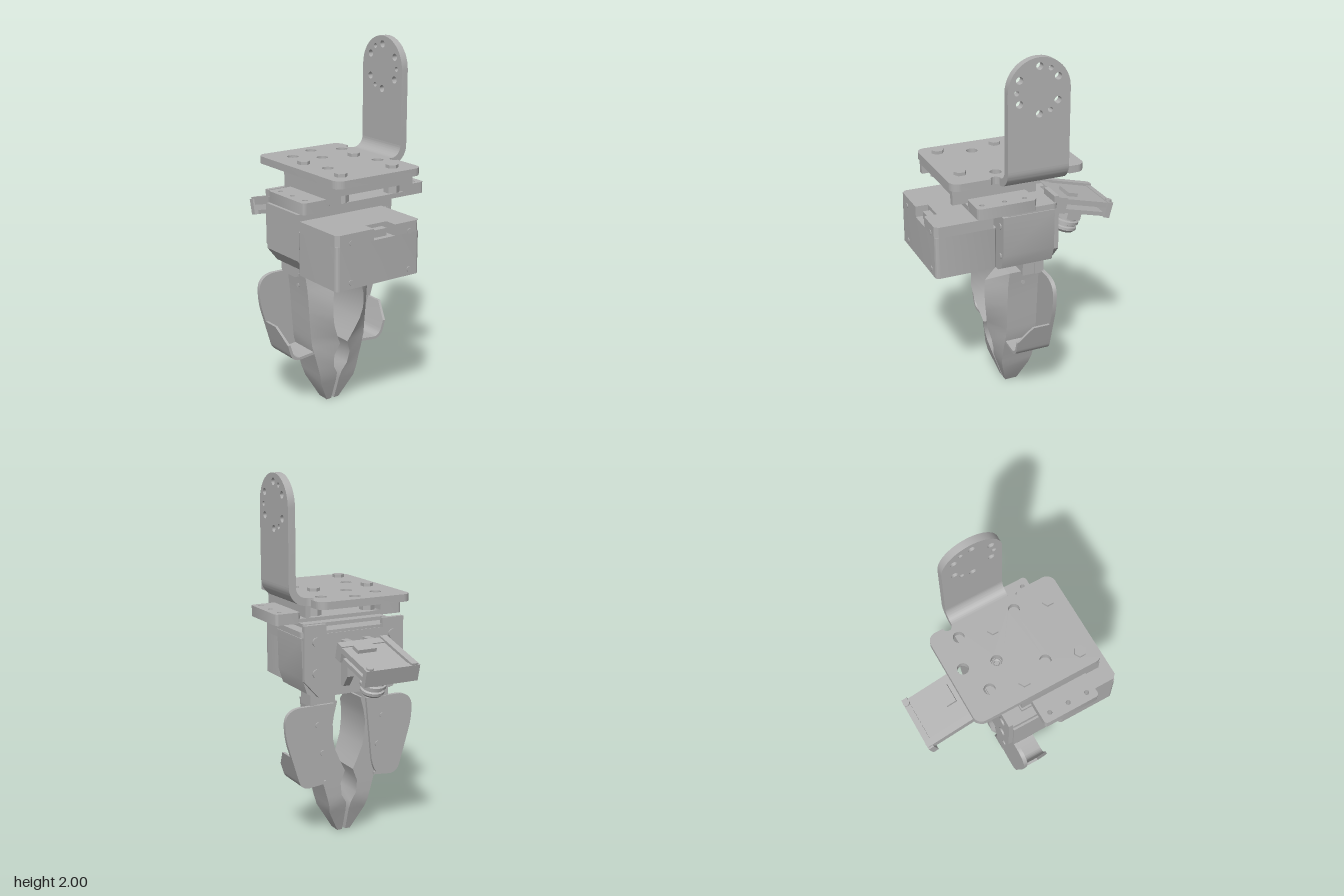
import * as THREE from 'three';
import { toCreasedNormals } from 'three/addons/utils/BufferGeometryUtils.js';

const grey = new THREE.MeshStandardMaterial({ color: 0xb0b0b0 });
grey.name = 'aluminium grey';

function add(parent, name, geo, x = 0, y = 0, z = 0) {
  const m = new THREE.Mesh(geo, grey);
  m.name = name;
  m.position.set(x, y, z);
  parent.add(m);
  return m;
}
// box given by its extents
const box = (p, name, x0, x1, y0, y1, z0, z1) =>
  add(p, name, new THREE.BoxGeometry(x1 - x0, y1 - y0, z1 - z0), (x0 + x1) / 2, (y0 + y1) / 2, (z0 + z1) / 2);
const poly = pts => new THREE.Shape(pts.map(p => new THREE.Vector2(...p)));
const extrude = (shape, depth) => toCreasedNormals(
  new THREE.ExtrudeGeometry(shape, { depth, bevelEnabled: false, curveSegments: 10 }), 0.6);
const flat = (shape, depth) => extrude(shape, depth).rotateX(Math.PI / 2);   // (x, z) outline, grows down
const side = (shape, depth) => extrude(shape, depth).rotateY(-Math.PI / 2);  // (z, y) outline, grows to -x
function drill(shape, holes) {
  for (const [x, y, r] of holes) shape.holes.push(new THREE.Path().absarc(x, y, r, 0, Math.PI * 2, true));
  return shape;
}
function roundRect(x0, x1, y0, y1, r) {
  const s = new THREE.Shape();
  s.absarc(x1 - r, y1 - r, r, 0, Math.PI / 2);
  s.absarc(x0 + r, y1 - r, r, Math.PI / 2, Math.PI);
  s.absarc(x0 + r, y0 + r, r, Math.PI, Math.PI * 1.5);
  s.absarc(x1 - r, y0 + r, r, Math.PI * 1.5, Math.PI * 2);
  return s;
}
const rod = (r, h, n = 16) => toCreasedNormals(new THREE.CylinderGeometry(r, r, h, n), 0.6);
const rodZ = (r, h, n) => rod(r, h, n).rotateX(Math.PI / 2);

function buildBracket(g) {
  // horizontal plate with two relief notches beside the bend
  const s = new THREE.Shape();
  s.moveTo(0.29, -0.23);
  s.lineTo(0.29, -0.185);
  s.absarc(0.29, -0.16, 0.025, -Math.PI / 2, Math.PI / 2, true);
  s.lineTo(0.29, 0.2);
  s.absarc(0.29, 0.225, 0.025, -Math.PI / 2, Math.PI / 2, true);
  s.absarc(0.24, 0.41, 0.05, 0, Math.PI / 2);
  s.absarc(-0.205, 0.41, 0.05, Math.PI / 2, Math.PI);
  s.absarc(-0.205, -0.23, 0.05, Math.PI, Math.PI * 1.5);
  s.absarc(0.24, -0.23, 0.05, -Math.PI / 2, 0);
  drill(s, [[-0.118, -0.135, 0.031], [0.208, -0.135, 0.031], [0.045, -0.2, 0.031],
    [-0.12, 0.19, 0.031], [0.205, 0.19, 0.031], [0, -0.028, 0.031]]);
  add(g, 'mountingPlate', flat(s, 0.04), 0, 1.37, 0);
  // bend
  const b = new THREE.Shape();
  b.moveTo(0.29, 1.33);
  b.absarc(0.29, 1.43, 0.1, -Math.PI / 2, 0);
  b.lineTo(0.35, 1.43);
  b.absarc(0.29, 1.43, 0.06, 0, -Math.PI / 2, true);
  add(g, 'bracketBend', extrude(b, 0.335), 0, 0, -0.133);
  // upright with a ring of holes
  const u = new THREE.Shape();
  u.moveTo(-0.133, 1.43);
  u.lineTo(0.202, 1.43);
  u.absarc(0.0345, 1.8325, 0.1675, 0, Math.PI);
  drill(u, [[0.035, 1.955, 0.019], [0.14, 1.895, 0.019], [-0.065, 1.895, 0.019], [0.14, 1.775, 0.019],
    [-0.065, 1.775, 0.019], [0.035, 1.715, 0.019], [-0.025, 1.94, 0.013], [-0.025, 1.73, 0.013], [0.155, 1.833, 0.013]]);
  add(g, 'bracketUpright', side(u, 0.04), 0.39, 0, 0);
  // bolts and nuts
  for (const x of [-0.167, 0.16]) for (const z of [0.04, 0.367]) {
    add(g, 'plateBolt', rod(0.034, 0.025, 6), x, 1.375, z);
    add(g, 'plateNut', rod(0.042, 0.05, 6), x, 1.265, z);
  }
  add(g, 'centreScrew', new THREE.TorusGeometry(0.02, 0.007, 6, 16).rotateX(Math.PI / 2), 0, 1.33, -0.028);
}

function buildAdapter(g) {
  box(g, 'channelTop', -0.25, 0.24, 1.29, 1.33, -0.02, 0.44);
  box(g, 'channelLip', -0.1, 0.1, 1.29, 1.33, -0.065, -0.02);
  for (const x of [-0.25, 0.21]) box(g, 'channelWall', x, x + 0.03, 1.24, 1.29, -0.02, 0.44);
  box(g, 'adapterBase', -0.24, 0.25, 1.2, 1.225, 0.04, 0.36);
  const left = drill(roundRect(-0.39, -0.215, 0.04, 0.36, 0.02),
    [[-0.345, 0.09, 0.013], [-0.345, 0.2, 0.013], [-0.345, 0.31, 0.013]]);
  const right = drill(roundRect(0.235, 0.385, 0.04, 0.36, 0.02),
    [[0.34, 0.09, 0.013], [0.34, 0.2, 0.013], [0.34, 0.32, 0.013]]);
  for (const s of [left, right]) add(g, 'mountingEar', flat(s, 0.06), 0, 1.26, 0);
}

function buildBody(g) {
  // gearbox housing
  const s = poly([[-0.31, 1.15], [-0.31, 0.9], [-0.25, 0.825], [0.23, 0.825], [0.275, 0.85],
    [0.3, 0.93], [0.305, 1.15]]);
  add(g, 'gearHousing', extrude(s, 0.29), 0, 0, -0.1);
  add(g, 'backPlate', extrude(poly([[-0.3, 1.22], [-0.3, 0.92], [-0.22, 0.83], [0.22, 0.83],
    [0.3, 0.92], [0.3, 1.22], [0.17, 1.22], [0.17, 1.17], [-0.17, 1.17], [-0.17, 1.22]]), 0.025), 0, 0, -0.125);
  add(g, 'topFlange', flat(roundRect(-0.3, 0.31, -0.12, 0.19, 0.03), 0.03), 0, 1.185, 0);
  box(g, 'topRiser', -0.25, 0.25, 1.18, 1.205, -0.02, 0.19);
  for (const x of [-0.23, 0.23]) for (const y of [0.96, 1.13])
    add(g, 'backScrew', rodZ(0.025, 0.012, 12), x, y, -0.128);
  for (const y of [0.92, 1.09]) add(g, 'frontScrew', rodZ(0.016, 0.008, 12), 0.265, y, 0.192);

  // motor block, its upper layer notched for the cable socket
  add(g, 'motorBlock', flat(roundRect(-0.31, 0.218, 0.19, 0.53, 0.02), 0.23), 0, 1.06, 0);
  add(g, 'motorTop', flat(poly([[-0.31, 0.21], [0.218, 0.21], [0.218, 0.51], [0.198, 0.53], [0.055, 0.53],
    [0.055, 0.46], [-0.08, 0.46], [-0.08, 0.53], [-0.29, 0.53], [-0.31, 0.51]]), 0.06), 0, 1.12, 0);
  box(g, 'cableSocket', -0.05, 0.025, 1.06, 1.1, 0.46, 0.5);
  for (const x of [-0.22, 0.15]) for (const y of [0.865, 1.07])
    add(g, 'motorScrew', rodZ(0.014, 0.008, 12), x, y, 0.53);
}

function buildCamera(g) {
  const arm = poly([[-0.11, 1.13], [-0.22, 1.13], [-0.22, 1.05], [-0.195, 1.04], [-0.195, 0.94], [-0.15, 0.88], [-0.11, 0.88]]);
  for (const x of [-0.045, 0.085]) add(g, 'cameraArm', side(arm, 0.04), x, 0, 0);
  // tilted holder; local z runs along the board
  const h = new THREE.Group();
  h.name = 'cameraHolder';
  h.position.set(0, 1.06, -0.355);
  h.rotation.x = -0.255;
  g.add(h);
  box(h, 'holderTop', -0.145, 0.15, 0, 0.03, -0.165, 0.165);
  box(h, 'circuitBoard', -0.13, 0.135, -0.055, -0.032, -0.155, 0.16);
  box(h, 'holderEnd', -0.155, 0.158, -0.055, 0.035, -0.168, -0.135);
  box(h, 'holderHinge', -0.145, 0.15, -0.055, 0.035, 0.11, 0.165);
  box(h, 'holderRim', -0.145, -0.105, 0.03, 0.045, -0.165, 0.165);
  box(h, 'connector', -0.01, 0.1, 0.03, 0.05, 0.03, 0.09);
  for (const x of [-0.125, 0.13]) add(h, 'holderScrew', rod(0.018, 0.02, 12), x, 0.035, -0.15);
  // lens barrel with grooves
  const profile = [[0, -0.2], [0.05, -0.2], [0.065, -0.185], [0.065, -0.17], [0.055, -0.165], [0.055, -0.155],
    [0.07, -0.15], [0.07, -0.135], [0.056, -0.13], [0.056, -0.05]].map(p => new THREE.Vector2(...p));
  add(h, 'lensBarrel', toCreasedNormals(new THREE.LatheGeometry(profile, 24), 0.6));
  add(h, 'lensNut', rod(0.085, 0.06, 6), 0, -0.085, 0);
}

// loft four-cornered sections: y, inner x, outer x, back z, outer front z, inner front z
function fingerGeometry(rows) {
  const pos = [], idx = [], n = rows.length;
  for (const [y, xi, xo, zb, zm, zf] of rows) pos.push(xi, y, zf, xo, y, zm, xo, y, zb, xi, y, zb);
  for (let r = 0; r < n - 1; r++) for (let i = 0; i < 4; i++) {
    const a = r * 4 + i, b = r * 4 + (i + 1) % 4;
    idx.push(a, b, b + 4, a, b + 4, a + 4);
  }
  const t = (n - 1) * 4;
  idx.push(t, t + 1, t + 2, t, t + 2, t + 3, 0, 2, 1, 0, 3, 2);
  const geo = new THREE.BufferGeometry();
  geo.setAttribute('position', new THREE.Float32BufferAttribute(pos, 3));
  geo.setIndex(idx);
  return toCreasedNormals(geo, 0.5);
}

function buildJaw(g, sign) {
  const j = new THREE.Group();
  j.name = sign > 0 ? 'leftJaw' : 'rightJaw';
  j.scale.x = sign;
  g.add(j);
  add(j, 'finger', fingerGeometry([
    [0, 0.01, 0.04, 0, 0.07, 0.07],
    [0.13, 0.01, 0.11, -0.04, 0.115, 0.115],
    [0.18, 0.015, 0.122, -0.058, 0.125, 0.132],
    [0.23, 0.045, 0.135, -0.06, 0.125, 0.143],
    [0.3, 0.052, 0.155, -0.06, 0.125, 0.158],
    [0.37, 0.025, 0.175, -0.06, 0.122, 0.173],
    [0.42, 0.05, 0.18, -0.06, 0.12, 0.185],
    [0.5, 0.085, 0.187, -0.06, 0.12, 0.203],
    [0.57, 0.1, 0.192, -0.06, 0.12, 0.215],
    [0.65, 0.1, 0.198, -0.06, 0.12, 0.215],
    [0.7, 0.092, 0.203, -0.06, 0.12, 0.21],
    [0.775, 0.072, 0.212, -0.06, 0.115, 0.12],
  ]));
  box(j, 'fingerArm', 0.085, 0.235, 0.76, 0.9, -0.06, 0.05);
  box(j, 'fingerLink', 0.2, 0.24, 0.76, 0.97, -0.07, -0.02);

  // rounded wing plate behind the finger
  const w = new THREE.Shape();
  w.moveTo(0.1, 0.77);
  w.lineTo(0.31, 0.77);
  w.quadraticCurveTo(0.395, 0.76, 0.392, 0.68);
  w.quadraticCurveTo(0.392, 0.62, 0.375, 0.56);
  w.lineTo(0.315, 0.36);
  w.quadraticCurveTo(0.3, 0.31, 0.25, 0.312);
  w.lineTo(0.19, 0.318);
  w.quadraticCurveTo(0.15, 0.33, 0.135, 0.42);
  add(j, 'wingPlate', extrude(w, 0.022), 0, 0, -0.077);

  // curved lip along the lower wing edge, its front edge sloping back near the top
  const lip = new THREE.Shape();
  lip.moveTo(0.357, 0.5);
  lip.lineTo(0.33, 0.41);
  lip.lineTo(0.315, 0.36);
  lip.quadraticCurveTo(0.3, 0.31, 0.25, 0.312);
  lip.lineTo(0.15, 0.322);
  lip.lineTo(0.15, 0.337);
  lip.lineTo(0.25, 0.327);
  lip.quadraticCurveTo(0.287, 0.325, 0.3, 0.365);
  lip.lineTo(0.315, 0.41);
  lip.lineTo(0.342, 0.5);
  const geo = new THREE.ExtrudeGeometry(lip, { depth: 0.197, bevelEnabled: false });
  const p = geo.attributes.position;
  for (let i = 0; i < p.count; i++)
    if (p.getZ(i) > 0.1 && p.getY(i) > 0.41) p.setZ(i, 0.197 - (p.getY(i) - 0.41) * 0.9);
  add(j, 'wingLip', toCreasedNormals(geo, 0.6), 0, 0, -0.077);
  for (const [x, y] of [[0.2, 0.66], [0.17, 0.5]]) add(j, 'wingScrew', rodZ(0.016, 0.01, 12), x, y, -0.079);
  add(j, 'fingerScrew', rodZ(0.012, 0.012, 12).rotateY(Math.PI / 2), 0.202, 0.705, 0.035);
}

export function createModel() {
  const g = new THREE.Group();
  g.name = 'gripper';
  buildBracket(g);
  buildAdapter(g);
  buildBody(g);
  buildCamera(g);
  for (const sign of [1, -1]) buildJaw(g, sign);
  return g;
}
